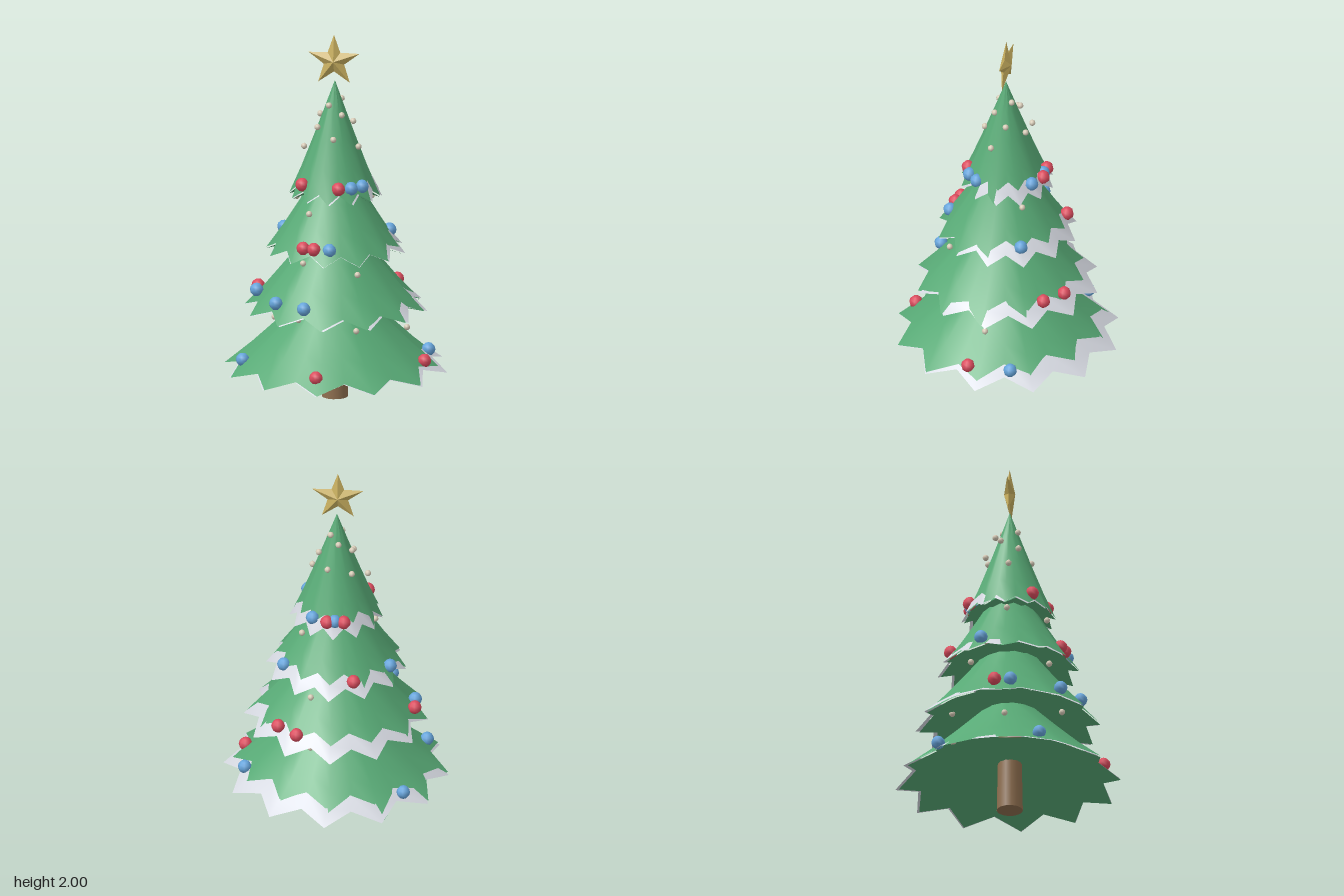
import * as THREE from 'three';

const flat = (name, color) => Object.assign(new THREE.MeshStandardMaterial({ color }), { name });
const AXIS = { x: -0.015, z: -0.005 };
const TEETH = 12;

// Star-shaped shell through rings [radius, y, notchLift], listed from the middle outwards
function starShell(rings, faceDown = false) {
  const n = TEETH * 2, pos = [], index = [];
  for (const [r, y, lift] of rings) {
    for (let j = 0; j < n; j++) {
      const a = (j / n) * Math.PI * 2, notch = j % 2;
      const rr = notch ? r * 0.85 : r;
      pos.push(Math.sin(a) * rr, y + (notch ? lift : 0), Math.cos(a) * rr);
    }
  }
  for (let i = 0; i < rings.length - 1; i++) {
    for (let j = 0; j < n; j++) {
      const k = (j + 1) % n;
      const a = i * n + j, b = a + n, c = (i + 1) * n + k, d = i * n + k;
      if (faceDown) index.push(a, c, b, a, d, c);
      else index.push(a, b, c, a, c, d);
    }
  }
  const g = new THREE.BufferGeometry();
  g.setAttribute('position', new THREE.Float32BufferAttribute(pos, 3));
  g.setIndex(index);
  g.computeVertexNormals();
  return g;
}

// Five-pointed star swelling to a peak on both faces
function starTopper(R, r, depth) {
  const pos = [];
  const p = (i) => {
    const a = (i / 10) * Math.PI * 2, q = i % 2 ? r : R;
    return [Math.sin(a) * q, Math.cos(a) * q, 0];
  };
  for (let i = 0; i < 10; i++) {
    pos.push(0, 0, depth, ...p(i + 1), ...p(i));
    pos.push(0, 0, -depth, ...p(i), ...p(i + 1));
  }
  const g = new THREE.BufferGeometry();
  g.setAttribute('position', new THREE.Float32BufferAttribute(pos, 3));
  g.computeVertexNormals();
  return g;
}

export function createModel() {
  const tree = new THREE.Group();
  tree.name = 'decoratedTree';
  const green = flat('needle green', 0x58aa76);
  const snow = flat('snow', 0xd4d7df);
  snow.side = THREE.DoubleSide;
  const red = flat('bauble red', 0xdc4c5e);
  const blue = flat('bauble blue', 0x66a5dc);
  const cream = flat('light cream', 0xd8ccb8);
  const bark = flat('bark brown', 0x8f6f4f);
  const gold = flat('star gold', 0xc9b060);

  const add = (name, geometry, material, x, y, z) => {
    const m = new THREE.Mesh(geometry, material);
    m.name = name;
    m.position.set(x, y, z);
    tree.add(m);
    return m;
  };

  // Trunk
  add('trunk', new THREE.CylinderGeometry(0.06, 0.07, 0.5, 14), bark, AXIS.x, 0.25, AXIS.z);

  // Branch tiers: tip radius, rim height, apex height
  const tiers = [
    [0.595, 0.16, 0.72],
    [0.485, 0.49, 1.08],
    [0.37, 0.81, 1.4],
    [0.245, 1.12, 1.75],
  ];
  tiers.forEach(([R, rim, apex], i) => {
    const at = (t, drop = 0) =>
      [R * t, rim + (apex - rim) * Math.pow(Math.max(0, 1 - t), 1.08) - drop, 0.045 * t];
    add('branches' + (i + 1), starShell([0, 0.25, 0.5, 0.75, 1].map((t) => at(t))), green, AXIS.x, 0, AXIS.z);
    // Shallow hollow underneath
    const under = [[0.01, rim + R * 0.2, 0], [R * 0.5, rim + R * 0.11, 0.02], [R, rim - 0.008, 0.045]];
    add('underside' + (i + 1), starShell(under, true), green, AXIS.x, 0, AXIS.z);
    // Snow edge peeking out unevenly between the two
    const edge = starShell([at(0.86, 0.006), at(1.015, 0.004)]);
    const s = add('snowEdge' + (i + 1), edge, snow, AXIS.x + 0.004, 0, AXIS.z - 0.012);
    s.rotation.y = i % 2 ? 0.02 : -0.02;
  });

  // Baubles by tier height: [x, z]
  const bauble = new THREE.SphereGeometry(0.037, 8, 6);
  const baubles = [
    [0.237, [[0.48, 0.065], [-0.035, 0.5]], [[-0.4, -0.35], [0.465, -0.165], [-0.48, 0.2]]],
    [0.583, [[0.17, -0.38], [0.275, -0.295], [-0.435, -0.045]], [[-0.43, 0.04], [-0.285, 0.295], [-0.12, 0.385]]],
    [0.89, [[-0.13, -0.31], [-0.14, 0.28], [-0.08, 0.295]], [[0.255, -0.165], [-0.31, -0.13], [0.005, 0.3]]],
    [1.2, [[-0.07, -0.215], [0.02, -0.22], [0.035, 0.19], [-0.17, 0.13]],
      [[-0.02, -0.21], [0.1, -0.18], [0.15, 0.11], [0.1, 0.165]]],
  ];
  for (const [y, reds, blues] of baubles) {
    reds.forEach(([x, z]) => add('redBauble', bauble, red, x, y, z));
    blues.forEach(([x, z]) => add('blueBauble', bauble, blue, x, y, z));
  }

  // Small lights
  const bead = new THREE.SphereGeometry(0.017, 8, 6);
  const lights = [
    [-0.04, 1.62, 0.04], [0.015, 1.64, -0.045], [0.03, 1.57, 0.045], [-0.1, 1.55, -0.045],
    [-0.1, 1.5, 0.05], [0.08, 1.52, -0.03], [-0.005, 1.45, 0.11], [-0.18, 1.38, 0.005],
    [0.12, 1.4, 0.04], [-0.03, 1.6, -0.08], [0.025, 1.47, -0.125], [-0.105, 1.45, -0.125],
    [-0.12, 1.06, 0.205], [0.16, 1.08, -0.145], [-0.22, 1.1, 0],
    [-0.15, 0.79, 0.22], [0.15, 0.75, 0.26], [0.1, 0.77, -0.295], [-0.15, 0.82, -0.2],
    [0.375, 0.4, 0], [-0.34, 0.425, 0], [-0.165, 0.495, 0.29], [0.15, 0.45, 0.3],
    [0.1, 0.47, -0.32], [-0.15, 0.52, -0.3],
  ];
  lights.forEach(([x, y, z]) => add('light', bead, cream, x, y, z));

  // Star on top
  add('topStar', starTopper(0.145, 0.058, 0.03), gold, -0.02, 1.855, AXIS.z);
  return tree;
}
